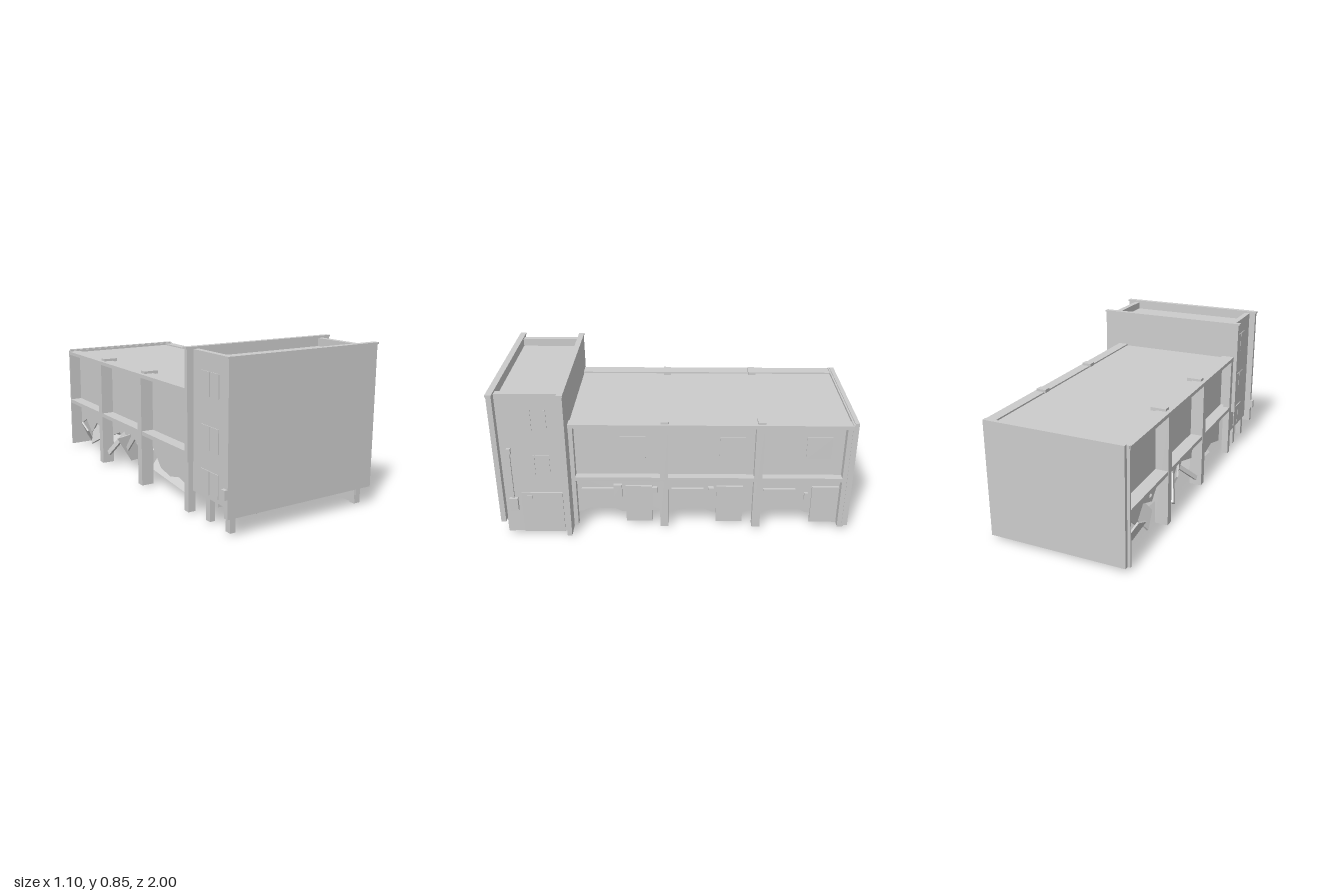
import * as THREE from 'three';

export function createModel() {
  const model = new THREE.Group();
  model.name = 'damagedBuilding';
  const building = new THREE.Group();
  building.name = 'building';
  building.rotation.y = -0.157;
  model.add(building);

  const concrete = new THREE.MeshStandardMaterial({ color: 0xcccccc, side: THREE.DoubleSide });
  concrete.name = 'concrete grey';

  const add = (name, geometry) => {
    const mesh = new THREE.Mesh(geometry, concrete);
    mesh.name = name;
    building.add(mesh);
    return mesh;
  };
  // Box given by its limits along x, y and z
  const box = (name, x0, x1, y0, y1, z0, z1) => {
    const mesh = add(name, new THREE.BoxGeometry(x1 - x0, y1 - y0, z1 - z0));
    mesh.position.set((x0 + x1) / 2, (y0 + y1) / 2, (z0 + z1) / 2);
    return mesh;
  };
  // Flat outline extruded by a thickness
  const plate = (name, points, depth) => {
    const shape = new THREE.Shape(points.map(([a, b]) => new THREE.Vector2(a, b)));
    return add(name, new THREE.ExtrudeGeometry(shape, { depth, bevelEnabled: false }));
  };
  // Outline in (z, y) standing on a side wall at x
  const sidePlate = (name, points, x, depth) => {
    const mesh = plate(name, points.map(([z, y]) => [-z, y]), depth);
    mesh.rotation.y = Math.PI / 2;
    mesh.position.x = x;
  };
  // Thin panel centred on a side wall
  const panel = (name, x, y, z, w, h) =>
    box(name, x - 0.004, x + 0.004, y - h / 2, y + h / 2, z - w / 2, z + w / 2);
  // Four-cornered sheet
  const sheet = (name, corners) => {
    const geometry = new THREE.BufferGeometry();
    geometry.setAttribute('position', new THREE.Float32BufferAttribute(corners.flat(), 3));
    geometry.setIndex([0, 1, 2, 0, 2, 3]);
    const flat = geometry.toNonIndexed();
    flat.computeVertexNormals();
    add(name, flat);
  };

  // Long hall: upper storey, whose underside is the ceiling of the open ground floor
  box('hallUpperStorey', -0.3, 0.36, 0.305, 0.632, -0.93, 0.55);
  box('hallBackWall', -0.37, 0.405, 0.02, 0.645, -0.935, -0.925);
  box('hallBackSlab', -0.355, 0.397, 0.02, 0.65, -0.957, -0.934);

  // Roof edges and floor beams along both sides
  box('roofEdge', -0.372, -0.298, 0.62, 0.64, -0.93, 0.553);
  box('roofEdge', 0.35, 0.408, 0.62, 0.64, -0.93, 0.553);
  box('floorBeam', -0.37, -0.298, 0.3, 0.322, -0.93, 0.553);
  box('floorBeam', 0.35, 0.402, 0.3, 0.322, -0.93, 0.553);

  // Pillars and their roof caps
  for (const z of [0.055, -0.45]) {
    box('hallPillar', -0.372, -0.3, 0.01, 0.625, z - 0.035, z + 0.01);
    box('hallPillar', 0.358, 0.402, 0.01, 0.625, z - 0.022, z + 0.022);
    box('pillarCap', -0.35, -0.268, 0.635, 0.653, z - 0.027, z + 0.015);
    box('pillarCap', 0.342, 0.397, 0.635, 0.653, z - 0.027, z + 0.015);
  }
  box('hallPillar', -0.37, -0.33, 0.01, 0.625, 0.515, 0.553);
  box('hallPillar', 0.36, 0.402, 0.015, 0.625, 0.53, 0.553);
  box('hallPillar', 0.36, 0.402, 0.015, 0.625, -0.93, -0.9);

  // Side bays: ground wall with uneven foot, door, ledge and upper window
  const bays = [
    { z0: 0.077, z1: 0.53, door: 0.12, ledge: 0.33, win: 0.22 },
    { z0: -0.428, z1: 0.033, door: -0.375, ledge: -0.16, win: -0.31 },
    { z0: -0.9, z1: -0.472, door: -0.895, ledge: -0.66, win: -0.77 },
  ];
  for (const { z0, z1, door, ledge, win } of bays) {
    sidePlate('groundWall', [
      [z0, 0.305], [z0, 0.09], [door + 0.17, 0.08], [door + 0.21, 0.1],
      [z1 - 0.06, 0.1], [z1 - 0.02, 0.08], [z1, 0.08], [z1, 0.305],
    ], 0.348, 0.012);
    box('doorPanel', 0.353, 0.373, 0.025, 0.25, door, door + 0.145);
    box('ledge', 0.355, 0.375, 0.225, 0.235, ledge, ledge + 0.175);
    panel('upperWindow', 0.361, 0.485, win, 0.135, 0.13);
  }
  box('wallBox', 0.355, 0.385, 0.185, 0.26, 0.285, 0.33);
  box('wallBox', 0.355, 0.375, 0.17, 0.21, -0.73, -0.71);
  for (const z of [0.105, -0.2]) box('smallVent', 0.355, 0.382, 0.215, 0.245, z - 0.015, z + 0.015);

  // Hollow tower: side walls, sunken roof
  box('towerRoof', -0.34, 0.45, 0.775, 0.795, 0.575, 0.905);
  box('towerLeftWall', -0.357, -0.325, 0.13, 0.838, 0.575, 0.905);
  box('towerRightWall', 0.425, 0.457, 0.015, 0.838, 0.575, 0.905);
  box('towerDoor', 0.452, 0.464, 0.015, 0.262, 0.595, 0.815);
  box('smallVent', 0.46, 0.47, 0.215, 0.245, 0.755, 0.785);

  // Front slab and its coping
  box('frontSlab', -0.395, 0.5, 0.1, 0.845, 0.903, 0.93);
  box('frontCoping', -0.402, 0.506, 0.84, 0.85, 0.9, 0.933);

  // Dividing slab, broken away at one lower corner
  plate('dividingSlab', [[-0.392, 0.845], [-0.392, 0.28], [-0.21, 0.28], [-0.21, 0.012], [0.5, 0.012], [0.5, 0.845]], 0.025)
    .position.z = 0.553;
  box('dividingCoping', -0.4, 0.506, 0.84, 0.85, 0.55, 0.581);

  // Tower posts
  for (const z of [0.7, 0.87]) box('towerPost', -0.35, -0.32, 0.01, 0.2, z - 0.018, z + 0.018);
  box('towerPost', 0.42, 0.457, 0.012, 0.2, 0.87, 0.903);

  // Tower windows, each of two panes
  for (const [x, rows] of [[-0.357, [0.69, 0.43, 0.21]], [0.457, [0.69, 0.43]]])
    for (const y of rows)
      for (const s of [-1, 1]) panel('towerWindowPane', x, y, 0.725 + s * 0.039, 0.072, 0.12);

  // Service boxes and pipe
  box('serviceBox', 0.452, 0.477, 0.155, 0.23, 0.835, 0.88);
  box('servicePipe', 0.455, 0.469, 0.23, 0.51, 0.853, 0.863);
  box('serviceBox', 0.455, 0.474, 0.5, 0.53, 0.847, 0.868);
  box('serviceBox', -0.412, -0.39, 0.195, 0.243, 0.9, 0.928);

  // Broken wall sheets hanging on the ruined side
  const ragged = [
    [[-0.9, 0.305], [-0.9, 0.16], [-0.82, 0.2], [-0.74, 0.13], [-0.66, 0.21], [-0.55, 0.17], [-0.472, 0.24], [-0.472, 0.305]],
    [[-0.428, 0.305], [-0.428, 0.18], [-0.33, 0.22], [-0.23, 0.13], [-0.14, 0.22], [0.033, 0.17], [0.033, 0.305]],
    [[0.077, 0.305], [0.077, 0.23], [0.17, 0.13], [0.27, 0.11], [0.36, 0.13], [0.51, 0.09], [0.51, 0.305]],
  ];
  for (const outline of ragged) sidePlate('brokenWall', outline, -0.31, 0.01);

  // Collapsed floor sheets sloping down to the ruined side
  sheet('collapsedFloor', [[0, 0.3, -0.36], [-0.3, 0.15, -0.6], [-0.29, 0.12, -0.42], [-0.15, 0.15, 0.0]]);
  sheet('collapsedFloor', [[0.05, 0.3, -0.2], [-0.28, 0.08, 0.0], [-0.29, 0.05, 0.4], [-0.05, 0.28, 0.5]]);

  // Debris: [x, y, z, width, height, length, tilts]
  const debris = [
    [-0.32, 0.12, -0.78, 0.01, 0.12, 0.1, 0.4, 0, 0.5],
    [-0.3, 0.16, -0.66, 0.01, 0.15, 0.12, -0.5, 0.2, -0.4],
    [-0.24, 0.14, -0.56, 0.01, 0.18, 0.14, 0.3, 0.5, 0.6],
    [-0.33, 0.16, -0.32, 0.015, 0.2, 0.03, 0.7, 0, -0.3],
    [-0.29, 0.15, -0.22, 0.01, 0.16, 0.12, -0.4, 0.3, 0.5],
    [-0.3, 0.14, -0.08, 0.015, 0.24, 0.025, -0.8, 0, -0.4],
  ];
  for (const [x, y, z, w, h, l, rx, ry, rz] of debris)
    box('debris', x - w / 2, x + w / 2, y - h / 2, y + h / 2, z - l / 2, z + l / 2).rotation.set(rx, ry, rz);

  // Fallen beams under the tower
  for (const [x, z] of [[0.03, 0.72], [-0.03, 0.66]])
    box('fallenBeam', x - 0.135, x + 0.135, 0.075, 0.093, z - 0.012, z + 0.012).rotation.z = 0.6;

  return model;
}
